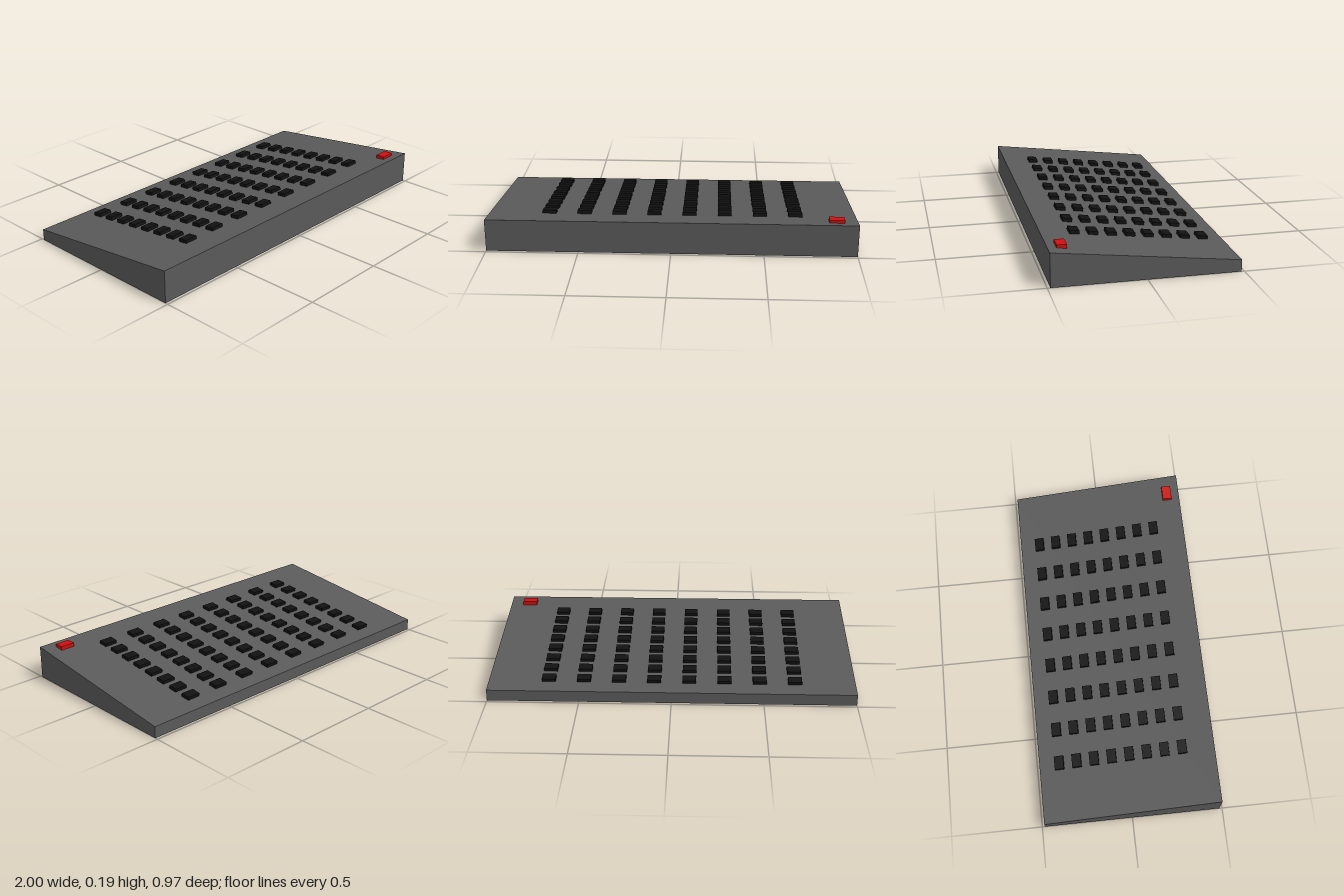
import * as THREE from 'three';

const WIDTH = 2, HALF_DEPTH = 0.485, FRONT_H = 0.18, BACK_H = 0.063;
const SLOPE = (FRONT_H - BACK_H) / (2 * HALF_DEPTH);
const surfaceY = (z) => BACK_H + (z + HALF_DEPTH) * SLOPE;

export function createModel() {
  const model = new THREE.Group();
  model.name = 'buttonConsole';
  const bodyMat = new THREE.MeshStandardMaterial({ color: 0x5a5a5a });
  const keyMat = new THREE.MeshStandardMaterial({ color: 0x111111 });
  const redMat = new THREE.MeshStandardMaterial({ color: 0xcc1111 });

  // Wedge body: side profile (shape x = -z) extruded across the width
  const profile = new THREE.Shape([
    new THREE.Vector2(-HALF_DEPTH, 0),
    new THREE.Vector2(HALF_DEPTH, 0),
    new THREE.Vector2(HALF_DEPTH, BACK_H),
    new THREE.Vector2(-HALF_DEPTH, FRONT_H),
  ]);
  const bodyGeo = new THREE.ExtrudeGeometry(profile, { depth: WIDTH, bevelEnabled: false });
  bodyGeo.translate(0, 0, -WIDTH / 2).rotateY(Math.PI / 2);
  const body = new THREE.Mesh(bodyGeo, bodyMat);
  body.name = 'body';
  model.add(body);

  // 8 x 8 grid of keys lying on the sloped top
  const keys = new THREE.Group();
  keys.name = 'keys';
  const keyGeo = new THREE.BoxGeometry(0.075, 0.018, 0.051);
  for (let row = 0; row < 8; row++) {
    for (let col = 0; col < 8; col++) {
      const key = new THREE.Mesh(keyGeo, keyMat);
      const z = 0.308 - row * 0.0975;
      key.name = `key_${row + 1}_${col + 1}`;
      key.position.set((col - 3.5) * 0.1917, surfaceY(z) + 0.009, z);
      key.rotation.x = -Math.atan(SLOPE);
      keys.add(key);
    }
  }
  model.add(keys);

  // Level red button in the front corner
  const redButton = new THREE.Mesh(new THREE.BoxGeometry(0.082, 0.024, 0.052), redMat);
  redButton.name = 'redButton';
  redButton.position.set(0.886, 0.178, 0.413);
  model.add(redButton);

  return model;
}
